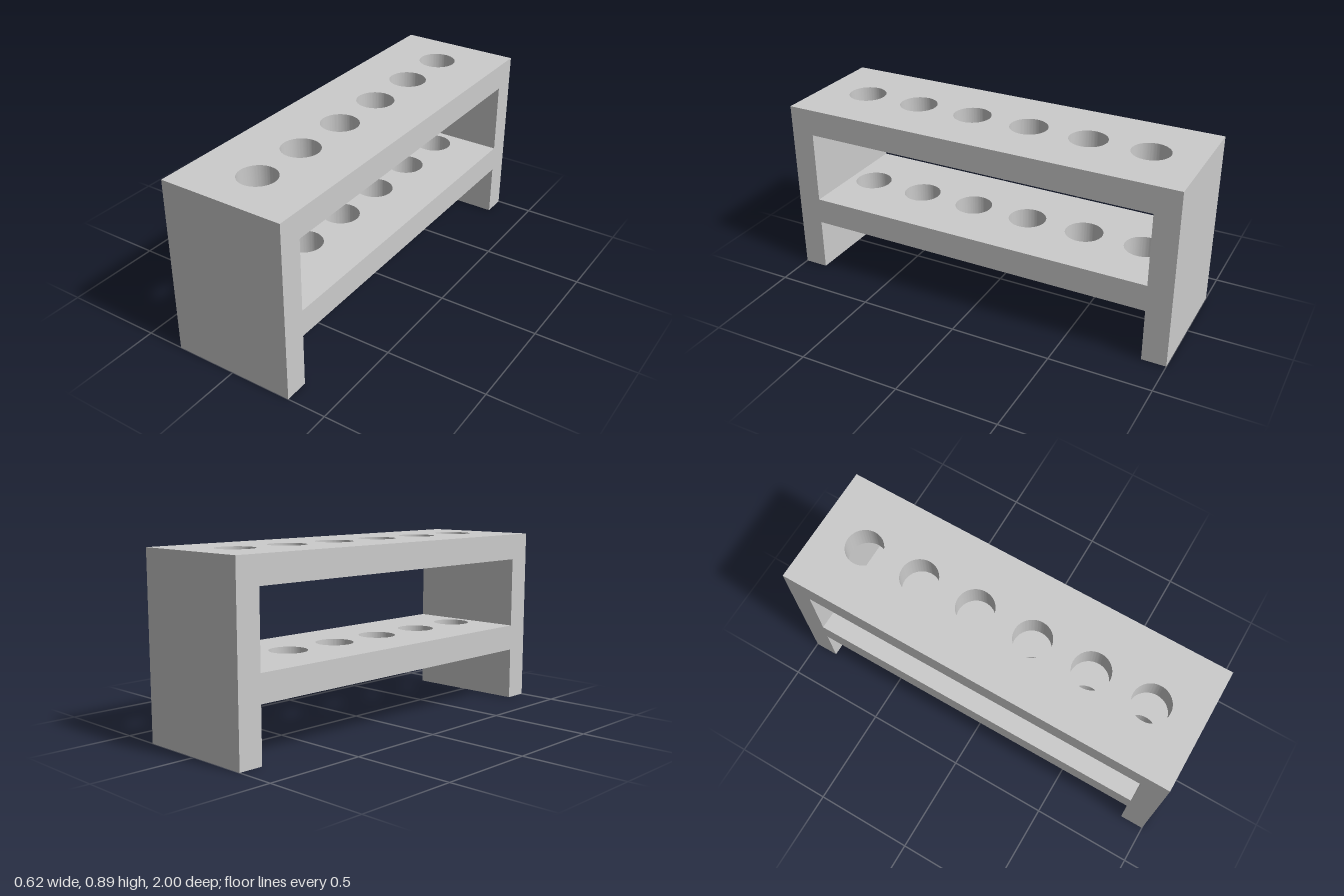
import * as THREE from 'three';
import { toCreasedNormals } from 'three/addons/utils/BufferGeometryUtils.js';

const WIDTH = 0.62, HEIGHT = 0.887, LENGTH = 2;
const END = 0.12, BOARD = 0.132;
const HOLES = 6, PITCH = 0.301, RADIUS = 0.0925;

// Horizontal board along z, pierced by a row of round holes
function piercedBoard(length) {
  const w = WIDTH / 2, l = length / 2;
  const shape = new THREE.Shape();
  shape.moveTo(-w, -l).lineTo(w, -l).lineTo(w, l).lineTo(-w, l).closePath();
  for (let i = 0; i < HOLES; i++) {
    const hole = new THREE.Path();
    hole.absarc(0, (i - (HOLES - 1) / 2) * PITCH, RADIUS, 0, Math.PI * 2, true);
    shape.holes.push(hole);
  }
  const geometry = new THREE.ExtrudeGeometry(shape, { depth: BOARD, bevelEnabled: false, curveSegments: 48 });
  geometry.rotateX(-Math.PI / 2);
  return toCreasedNormals(geometry, Math.PI / 6);
}

export function createModel() {
  const group = new THREE.Group();
  group.name = 'tubeRack';
  const material = new THREE.MeshStandardMaterial({ color: 0xcccccc });

  const add = (name, geometry, y, z = 0) => {
    const mesh = new THREE.Mesh(geometry, material);
    mesh.name = name;
    mesh.position.set(0, y, z);
    group.add(mesh);
  };

  // Top board spans the full length, the shelf sits between the ends
  add('topBoard', piercedBoard(LENGTH), HEIGHT - BOARD);
  add('middleShelf', piercedBoard(LENGTH - 2 * END), 0.265);

  // End panels standing on the ground
  const endHeight = HEIGHT - BOARD;
  for (const side of [1, -1]) {
    add(side > 0 ? 'frontEndPanel' : 'backEndPanel',
      new THREE.BoxGeometry(WIDTH, endHeight, END), endHeight / 2, side * (LENGTH - END) / 2);
  }
  return group;
}
